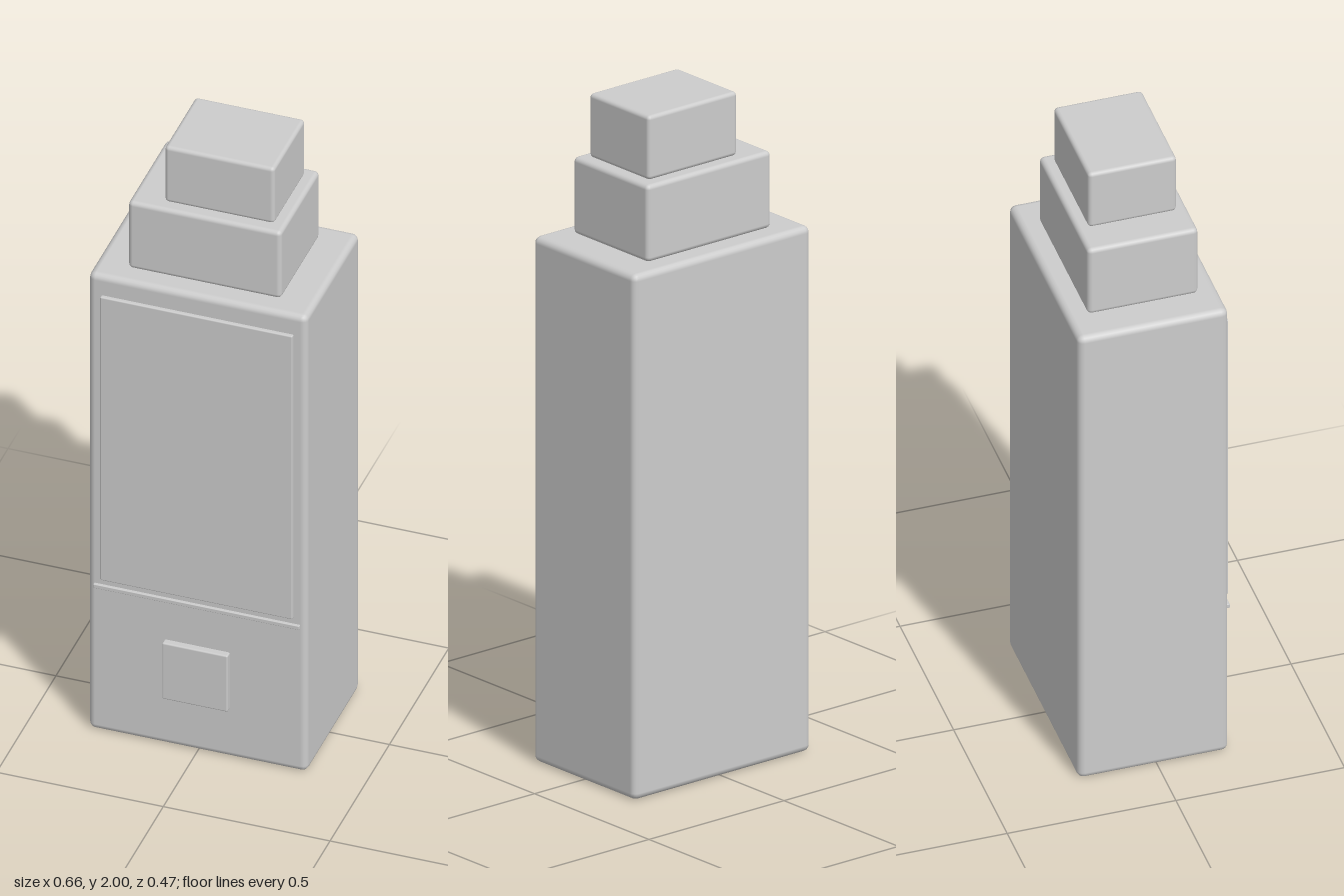
import * as THREE from 'three';
import { RoundedBoxGeometry } from 'three/addons/geometries/RoundedBoxGeometry.js';

export function createModel() {
  const model = new THREE.Group();
  model.name = 'tower';
  const grey = new THREE.MeshStandardMaterial({ color: 0xcccccc });
  grey.name = 'light grey';

  // Softly bevelled block given by its lowest and highest corners
  function block(name, [x0, y0, z0], [x1, y1, z1], bevel) {
    const geometry = new RoundedBoxGeometry(x1 - x0, y1 - y0, z1 - z0, 2, bevel);
    const mesh = new THREE.Mesh(geometry, grey);
    mesh.name = name;
    mesh.position.set((x0 + x1) / 2, (y0 + y1) / 2, (z0 + z1) / 2);
    model.add(mesh);
  }

  // Stacked blocks, each smaller than the one below
  block('body', [-0.328, 0, -0.234], [0.328, 1.577, 0.212], 0.02);
  block('middleBlock', [-0.23, 1.577, -0.175], [0.229, 1.808, 0.153], 0.014);
  block('topBlock', [-0.132, 1.808, -0.142], [0.197, 2, 0.12], 0.012);

  // Raised details on the front
  block('frontPanel', [-0.289, 0.53, 0.2], [0.288, 1.51, 0.223], 0.004);
  block('dividerStrip', [-0.31, 0.497, 0.2], [0.308, 0.51, 0.221], 0.002);
  block('frontButton', [-0.1, 0.17, 0.2], [0.097, 0.364, 0.232], 0.005);

  return model;
}
